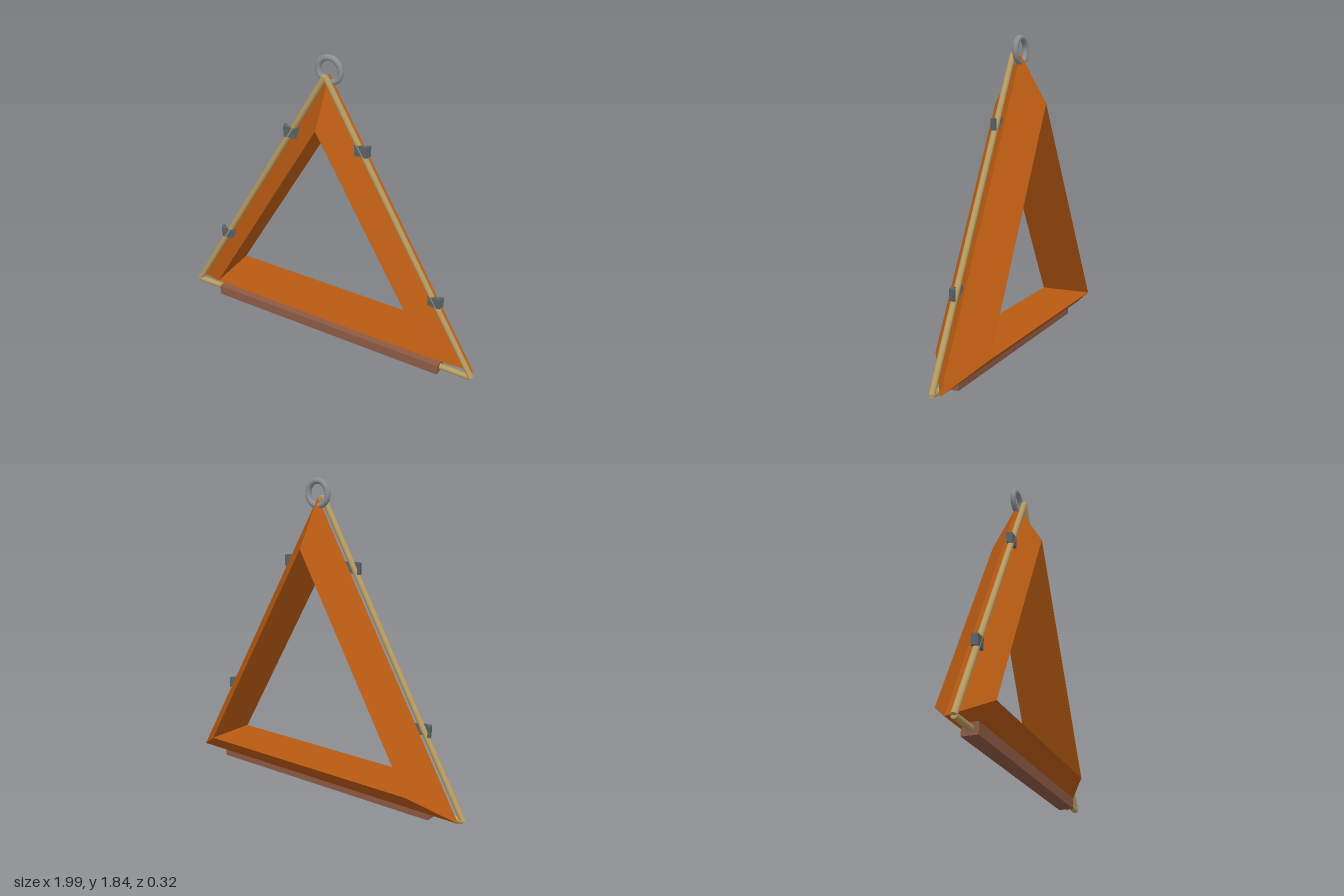
import * as THREE from 'three';

const material = (name, color) => {
  const m = new THREE.MeshStandardMaterial({ color });
  m.name = name;
  return m;
};

export function createModel() {
  const group = new THREE.Group();
  const orange = material('burnt orange', 0xb85a12);
  const wood = material('pale wood', 0xb89c62);
  const brown = material('brown', 0x8d5a44);
  const steel = material('steel grey', 0x8c9093);
  const slate = material('slate grey', 0x5a6469);

  const add = (name, geometry, mat, x = 0, y = 0, z = 0) => {
    const mesh = new THREE.Mesh(geometry, mat);
    mesh.name = name;
    mesh.position.set(x, y, z);
    group.add(mesh);
    return mesh;
  };

  // Triangular frame: three-sided ring with a three-sided section, faceted
  const centreY = 0.602;
  const frame = new THREE.TorusGeometry(0.946, 0.184, 3, 3).rotateZ(Math.PI / 2).toNonIndexed();
  frame.computeVertexNormals();
  add('triangleFrame', frame, orange, 0, centreY, 0);

  // Three rods around the outline, just in front of the frame's ridge
  const rodZ = 0.048;
  const corners = [
    new THREE.Vector3(0, 1.734, rodZ),
    new THREE.Vector3(0.98, 0.036, rodZ),
    new THREE.Vector3(-0.98, 0.036, rodZ),
  ];
  const up = new THREE.Vector3(0, 1, 0);
  ['leftRod', 'bottomRod', 'rightRod'].forEach((name, i) => {
    const a = corners[i], b = corners[(i + 1) % 3];
    const dir = b.clone().sub(a);
    const rod = add(name, new THREE.CylinderGeometry(0.018, 0.018, dir.length(), 10), wood);
    rod.position.copy(a).add(b).multiplyScalar(0.5);
    rod.quaternion.setFromUnitVectors(up, dir.normalize());
  });

  // Small channel clips holding the side rods, open towards the back
  const profile = new THREE.Shape([
    [-0.05, 0.017], [-0.03, 0.017], [-0.02, 0], [0.02, 0],
    [0.03, 0.017], [0.05, 0.017], [0.037, -0.017], [-0.037, -0.017],
  ].map(([x, y]) => new THREE.Vector2(x, y)));
  const clip = new THREE.ExtrudeGeometry(profile, { depth: 0.066, bevelEnabled: false })
    .translate(0, 0, -0.033)
    .rotateX(-Math.PI / 2);
  clip.computeVertexNormals();
  for (const side of [1, -1]) {
    const label = side > 0 ? 'left' : 'right';
    add(label + 'UpperClip', clip, slate, side * 0.227, 1.348, rodZ);
    add(label + 'LowerClip', clip, slate, side * 0.717, 0.5, rodZ);
  }

  // Bar along the bottom edge
  add('bottomBar', new THREE.BoxGeometry(1.57, 0.066, 0.09), brown, 0, 0.033, 0.045);

  // Hanging ring at the apex
  add('hangingRing', new THREE.TorusGeometry(0.07, 0.0175, 12, 32), steel, 0, 1.755, 0);

  return group;
}
